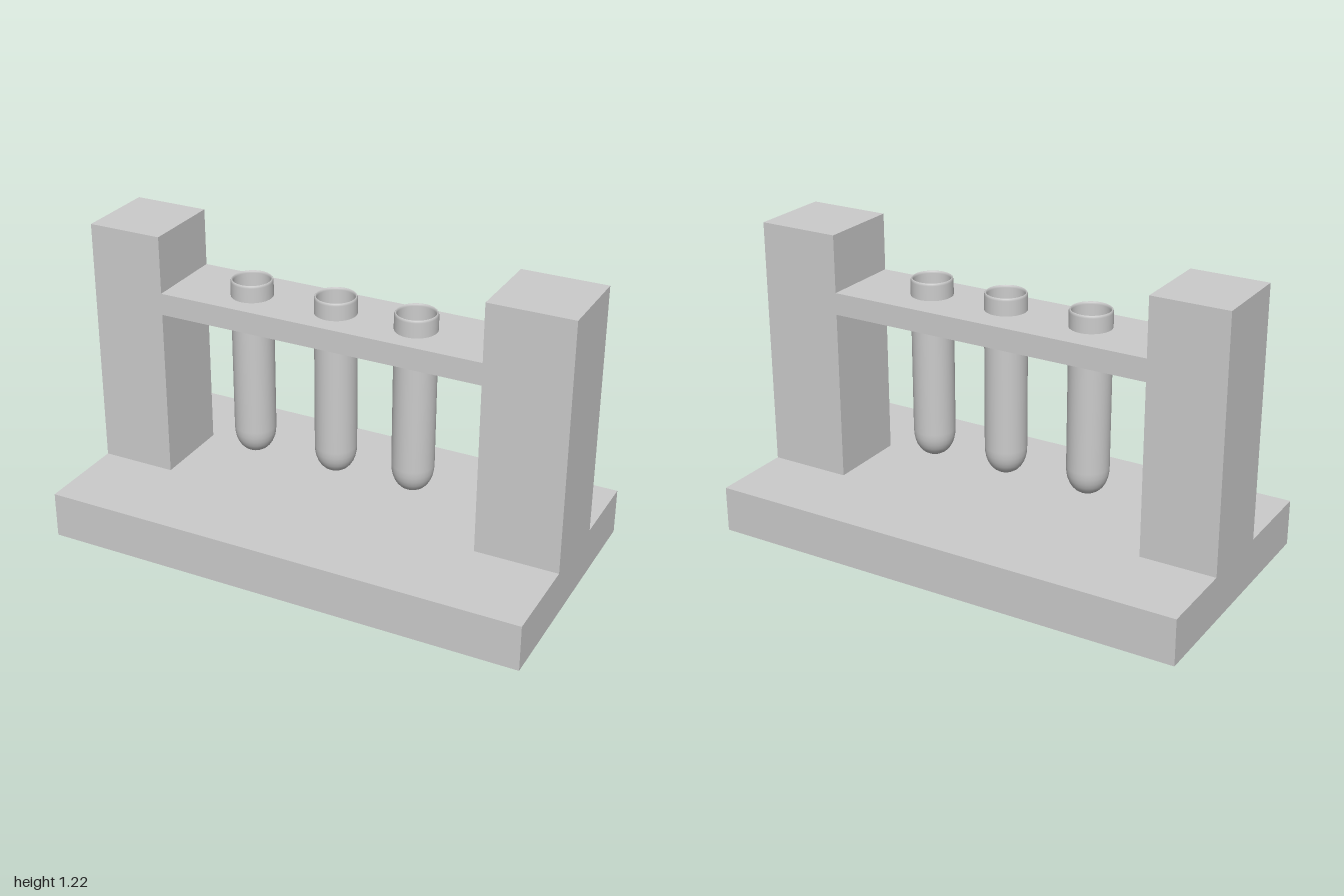
import * as THREE from 'three';

const material = new THREE.MeshStandardMaterial({ color: 0xcccccc });
const tubeMaterial = new THREE.MeshStandardMaterial({ color: 0xcccccc, side: THREE.DoubleSide });

// Box given by its extents on each axis
function block(name, [x0, x1], [y0, y1], [z0, z1]) {
  const mesh = new THREE.Mesh(new THREE.BoxGeometry(x1 - x0, y1 - y0, z1 - z0), material);
  mesh.name = name;
  mesh.position.set((x0 + x1) / 2, (y0 + y1) / 2, (z0 + z1) / 2);
  return mesh;
}

// Hollow tube profile: rounded bottom, straight wall, soft rim, inner wall
function tubeGeometry() {
  const outer = 0.084, inner = 0.074, bottom = 0.3, top = 1.05, round = 0.11;
  const points = [];
  const bowl = (r, y0, t) => {
    const a = t * Math.PI / 2;
    return new THREE.Vector2(r * Math.sin(a) ** 0.9, y0 + round * (1 - Math.cos(a) ** 0.9));
  };
  for (let i = 0; i <= 8; i++) points.push(bowl(outer, bottom, i / 8));
  points.push(
    new THREE.Vector2(outer, top - 0.01),
    new THREE.Vector2(outer - 0.003, top - 0.002),
    new THREE.Vector2(outer - 0.005, top),
    new THREE.Vector2(inner + 0.002, top - 0.002),
    new THREE.Vector2(inner, top - 0.01),
  );
  for (let i = 8; i >= 0; i--) points.push(bowl(inner, bottom + 0.01, i / 8));
  points[0].x = points[points.length - 1].x = 0;
  return new THREE.LatheGeometry(points, 32);
}

export function createModel() {
  const model = new THREE.Group();
  model.name = 'testTubeRack';
  const depth = [-0.19, 0.15];

  // Base, end posts and the shelf between them
  model.add(
    block('base', [-1, 1], [0, 0.19], [-0.527, 0.527]),
    block('rightPost', [-1, -0.69], [0.19, 1.215], depth),
    block('leftPost', [0.66, 1], [0.19, 1.215], depth),
    block('shelf', [-0.69, 0.66], [0.89, 0.98], depth),
  );

  // Three tubes hanging through the shelf
  const geometry = tubeGeometry();
  ['rightTube', 'middleTube', 'leftTube'].forEach((name, i) => {
    const tube = new THREE.Mesh(geometry, tubeMaterial);
    tube.name = name;
    tube.position.set([-0.37, -0.005, 0.33][i], 0, -0.005);
    model.add(tube);
  });
  return model;
}
